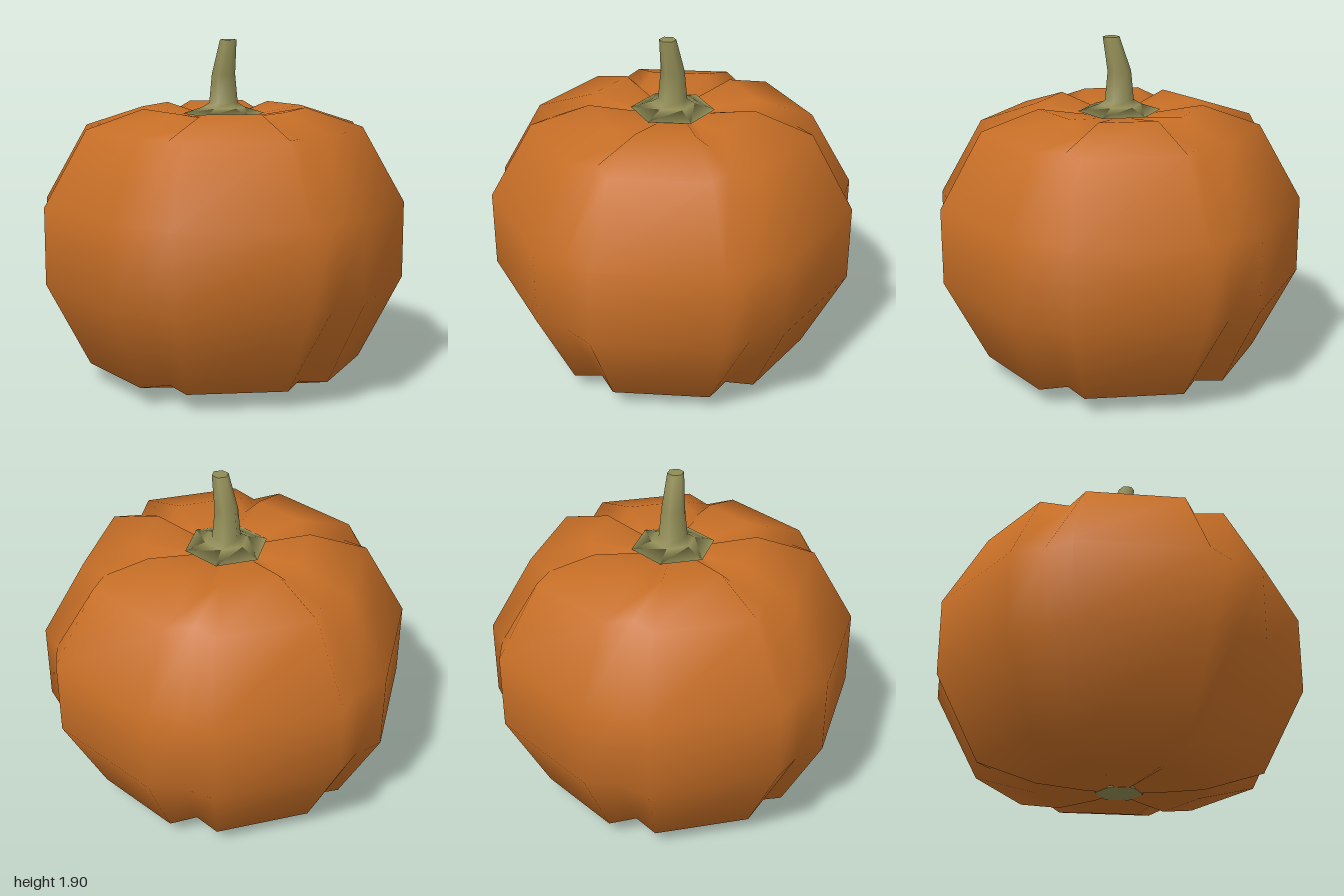
import * as THREE from 'three';

const orange = new THREE.MeshStandardMaterial({ name: 'pumpkin orange', color: 0xc66e26 });
const green = new THREE.MeshStandardMaterial({ name: 'stem green', color: 0x918c56 });

// Joins rings of points, listed bottom to top, into one smooth skin closed at both ends.
function skin(rings, bottom, top) {
  const n = rings[0].length;
  const points = [...rings.flat(), bottom, top];
  const index = [];
  for (let r = 0; r < rings.length - 1; r++) {
    for (let i = 0; i < n; i++) {
      const a = r * n + i, b = r * n + (i + 1) % n;
      index.push(a, b, b + n, a, b + n, a + n);
    }
  }
  const last = (rings.length - 1) * n, low = rings.length * n;
  for (let i = 0; i < n; i++) {
    const j = (i + 1) % n;
    index.push(low, j, i, low + 1, last + i, last + j);
  }
  const geometry = new THREE.BufferGeometry();
  geometry.setAttribute('position', new THREE.Float32BufferAttribute(points.flat(), 3));
  geometry.setIndex(index);
  geometry.computeVertexNormals();
  return geometry;
}

const polar = (degrees, radius, y, x = 0) => {
  const a = THREE.MathUtils.degToRad(degrees);
  return [x + radius * Math.sin(a), y, radius * Math.cos(a)];
};

// Six lobes: each has two outer corners and one groove point per ring.
// Columns: lobe radius, lobe height, groove radius, groove height.
function bodyGeometry() {
  const rows = [
    [0.18, 0.00, 0.18, 0.02],
    [0.458, 0.015, 0.44, 0.05],
    [0.777, 0.10, 0.69, 0.11],
    [1.0154, 0.57, 0.965, 0.57],
    [1.0154, 1.00, 0.965, 1.00],
    [0.777, 1.42, 0.68, 1.41],
    [0.458, 1.525, 0.44, 1.45],
    [0.19, 1.48, 0.19, 1.47],
  ];
  const rings = rows.map(([lobeR, lobeY, grooveR, grooveY]) => {
    const ring = [];
    for (let k = 0; k < 6; k++) {
      ring.push(polar(k * 60 - 20, lobeR, lobeY));
      ring.push(polar(k * 60 + 20, lobeR, lobeY));
      ring.push(polar(k * 60 + 30, grooveR, grooveY));
    }
    return ring;
  });
  return skin(rings, [0, 0.005, 0], [0, 1.46, 0]);
}

// Six-sided stem with a flared foot and a slight bend towards +x.
// Columns: radius, height, sideways shift.
function stemGeometry() {
  const rows = [
    [0.23, 1.49, 0],
    [0.12, 1.525, 0],
    [0.08, 1.55, 0],
    [0.065, 1.71, 0],
    [0.046, 1.90, 0.045],
  ];
  const rings = rows.map(([r, y, x]) =>
    Array.from({ length: 6 }, (_, k) => polar(30 + k * 60, r, y, x)));
  return skin(rings, [0, 1.48, 0], [0.045, 1.90, 0]);
}

export function createModel() {
  const model = new THREE.Group();
  model.name = 'pumpkin';
  const add = (name, geometry, material) => {
    const mesh = new THREE.Mesh(geometry, material);
    mesh.name = name;
    model.add(mesh);
    return mesh;
  };

  add('body', bodyGeometry(), orange);
  add('stem', stemGeometry(), green);

  // Flat cut at the stem tip
  const tip = add('stemTip', new THREE.CircleGeometry(0.046, 6), green);
  tip.rotation.x = -Math.PI / 2;
  tip.position.set(0.045, 1.901, 0);

  // Small blossom scar underneath
  const scar = add('blossomScar', new THREE.CylinderGeometry(0.13, 0.13, 0.009, 6), green);
  scar.rotation.y = Math.PI / 6;
  scar.position.y = 0.0045;

  return model;
}
